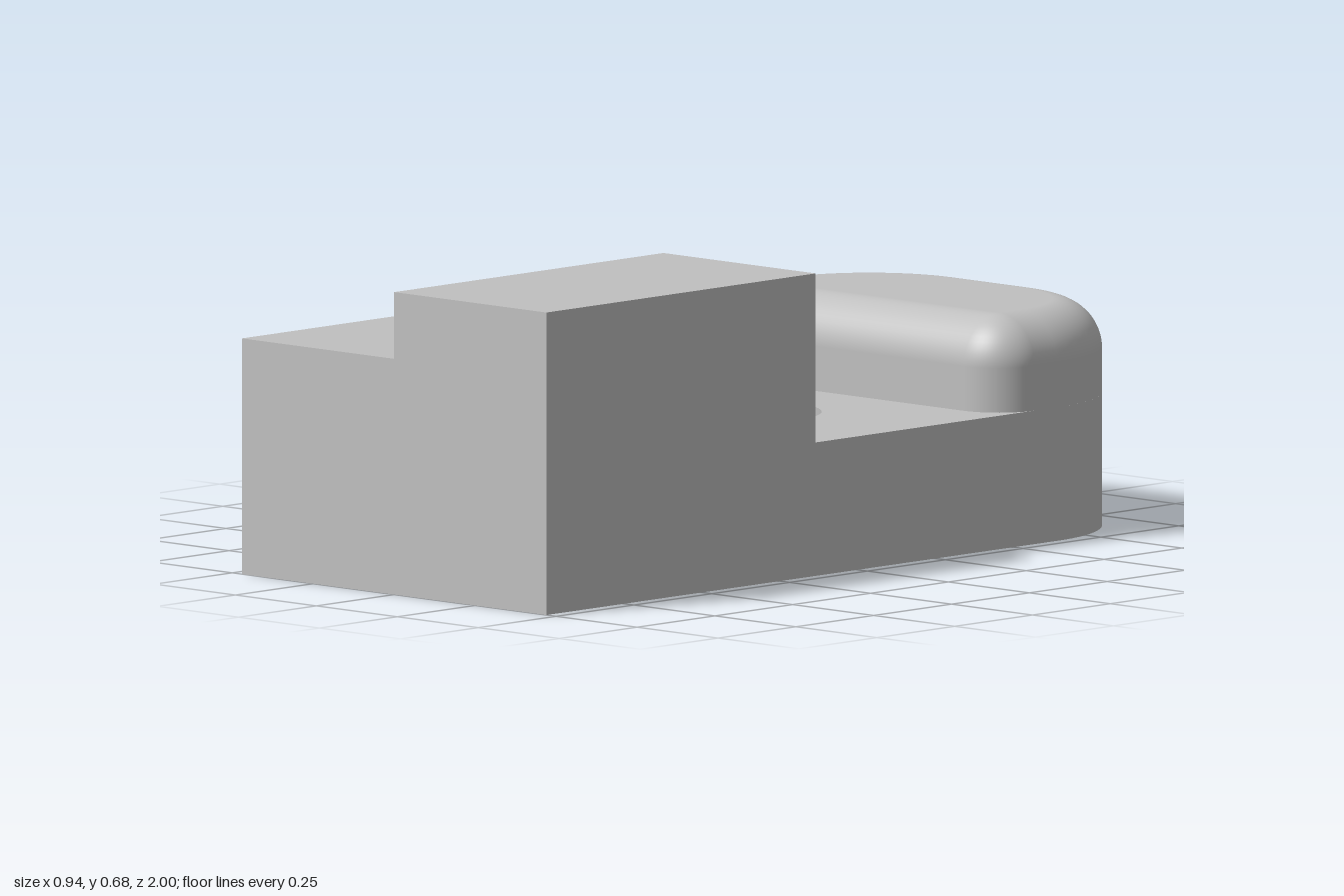
import * as THREE from 'three';
import { toCreasedNormals } from 'three/addons/utils/BufferGeometryUtils.js';

const W = 0.47;          // half width
const BACK = -1, FRONT = 1;
const BASE_H = 0.3;
const R_BACK = 0.36;     // large rear corner radius

// Base plate with rounded rear corners and a through hole
function baseGeometry() {
  const s = new THREE.Shape(); // shape y becomes -z
  s.moveTo(-W, -FRONT);
  s.lineTo(W, -FRONT);
  s.lineTo(W, -BACK - R_BACK);
  s.absarc(W - R_BACK, -BACK - R_BACK, R_BACK, 0, Math.PI / 2);
  s.absarc(-W + R_BACK, -BACK - R_BACK, R_BACK, Math.PI / 2, Math.PI);
  s.closePath();
  const hole = new THREE.Path();
  hole.absarc(0, 0.095, 0.193, 0, Math.PI * 2, true);
  s.holes.push(hole);
  const g = new THREE.ExtrudeGeometry(s, { depth: BASE_H, bevelEnabled: false, curveSegments: 24 });
  g.rotateX(-Math.PI / 2);
  return toCreasedNormals(g, 0.5);
}

// Raised block with two levels, the left one higher
function blockGeometry() {
  const pts = [[-W, BASE_H], [W, BASE_H], [W, 0.68], [0, 0.68], [0, 0.53], [-W, 0.53]];
  const s = new THREE.Shape(pts.map(([x, y]) => new THREE.Vector2(x, y)));
  const zBack = 0.135;
  const g = new THREE.ExtrudeGeometry(s, { depth: FRONT - zBack, bevelEnabled: false });
  g.translate(0, 0, zBack);
  return g;
}

// Rear pad: stacked outline loops whose last rows roll over a top fillet
function padGeometry() {
  const zFront = -0.457, top = 0.51, fillet = 0.11, rFront = 0.112;
  const corners = [[1, 1, rFront], [-1, 1, rFront], [-1, -1, R_BACK], [1, -1, R_BACK]];
  const steps = 16, rows = 12;
  const pos = [], nor = [], idx = [];

  const addLoop = (y, t) => {
    const inset = fillet * (1 - Math.cos(t));
    corners.forEach(([sx, sz, r], c) => {
      const cx = sx * (W - r);
      const cz = sz > 0 ? zFront - r : BACK + r;
      for (let k = 0; k <= steps; k++) {
        const a = (c + k / steps) * Math.PI / 2;
        pos.push(cx + (r - inset) * Math.cos(a), y, cz + (r - inset) * Math.sin(a));
        nor.push(Math.cos(a) * Math.cos(t), Math.sin(t), Math.sin(a) * Math.cos(t));
      }
    });
  };

  addLoop(BASE_H, 0);
  for (let j = 0; j <= rows; j++) {
    const t = (j / rows) * Math.PI / 2;
    addLoop(top - fillet + fillet * Math.sin(t), t);
  }

  const n = corners.length * (steps + 1);
  for (let j = 0; j <= rows; j++) {
    for (let i = 0; i < n; i++) {
      const a = j * n + i, b = j * n + (i + 1) % n;
      idx.push(a, a + n, b, b, a + n, b + n);
    }
  }
  // flat top
  const centre = pos.length / 3, last = (rows + 1) * n;
  pos.push(0, top, (zFront + BACK) / 2);
  nor.push(0, 1, 0);
  for (let i = 0; i < n; i++) idx.push(centre, last + (i + 1) % n, last + i);

  const g = new THREE.BufferGeometry();
  g.setAttribute('position', new THREE.Float32BufferAttribute(pos, 3));
  g.setAttribute('normal', new THREE.Float32BufferAttribute(nor, 3));
  g.setIndex(idx);
  return g;
}

export function createModel() {
  const grey = new THREE.MeshStandardMaterial({ color: 0xc0c0c0 });
  grey.name = 'plain grey';
  const group = new THREE.Group();
  group.name = 'steppedClamp';
  const add = (name, geometry) => {
    const mesh = new THREE.Mesh(geometry, grey);
    mesh.name = name;
    group.add(mesh);
  };
  add('basePlate', baseGeometry());
  add('steppedBlock', blockGeometry());
  add('roundedPad', padGeometry());
  return group;
}
